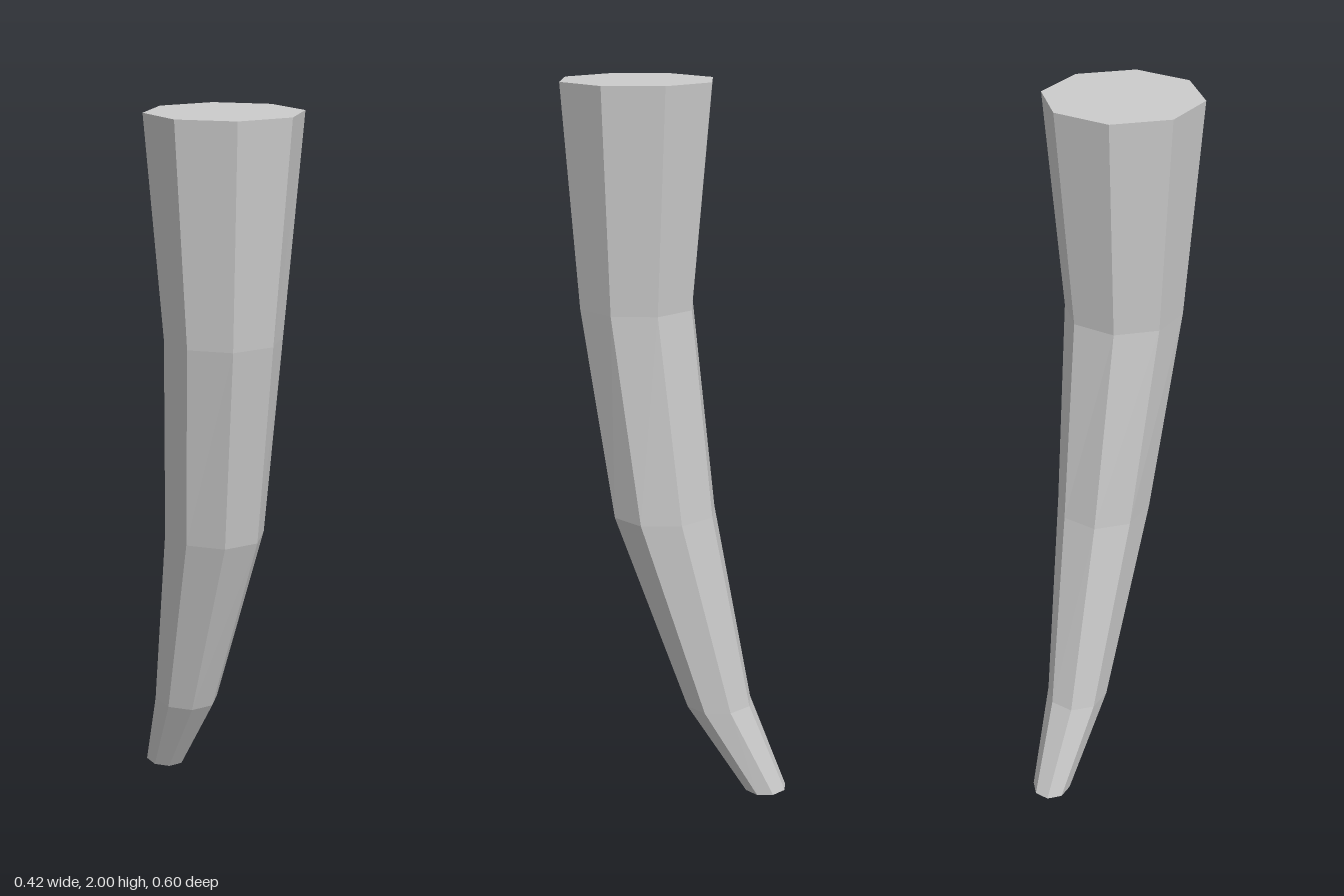
import * as THREE from 'three';

// Horizontal cross-sections from top to tip: height, centre x, centre z, radius x, radius z
const RINGS = [
  [2.0, -0.002, 0.089, 0.209, 0.209],
  [1.41, -0.004, 0.092, 0.16, 0.159],
  [0.835, 0.042, 0.03, 0.13, 0.146],
  [0.265, 0.097, -0.113, 0.086, 0.096],
  [0.0, 0.154, -0.237, 0.054, 0.061],
];

export function createModel() {
  const group = new THREE.Group();
  group.name = 'curvedHorn';

  // Unit eight-sided cylinder with one row of vertices per cross-section
  const spans = RINGS.length - 1;
  const geometry = new THREE.CylinderGeometry(1, 1, spans, 8, spans);

  // Move every row onto its cross-section
  const pos = geometry.attributes.position;
  for (let i = 0; i < pos.count; i++) {
    const [y, cx, cz, rx, rz] = RINGS[Math.round(spans / 2 - pos.getY(i))];
    pos.setXYZ(i, cx + rx * pos.getX(i), y, cz + rz * pos.getZ(i));
  }
  geometry.computeVertexNormals();

  const horn = new THREE.Mesh(
    geometry,
    new THREE.MeshStandardMaterial({ color: 0xcccccc, flatShading: true })
  );
  horn.name = 'hornBody';
  group.add(horn);
  return group;
}
